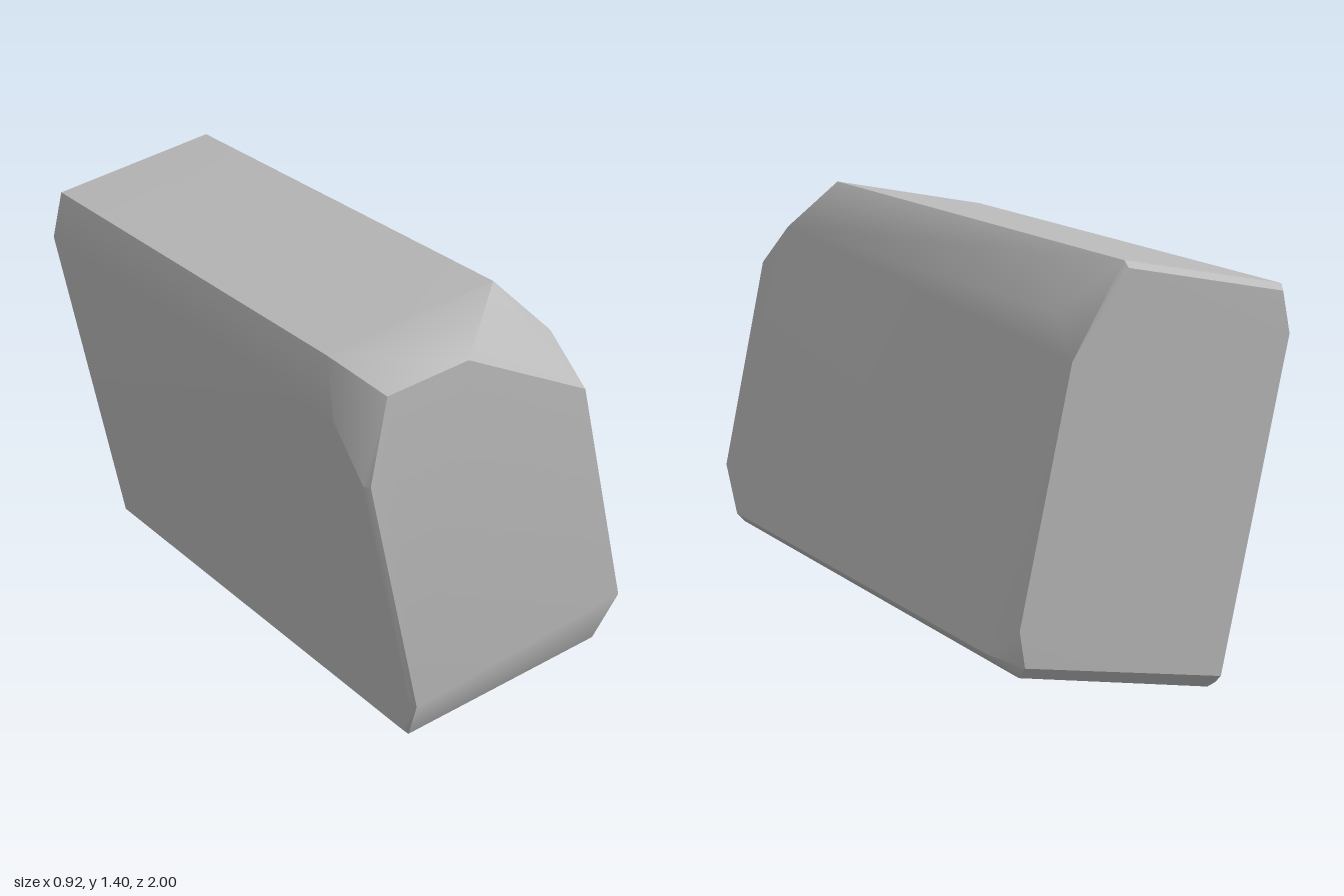
import * as THREE from 'three';
import { ConvexGeometry } from 'three/addons/geometries/ConvexGeometry.js';

// Area-weighted normals, smoothed only where faces meet below the crease angle:
// the large faces stay flat and the bevels blend into them.
function softenBevels(geometry, creaseDegrees) {
  const pos = geometry.attributes.position;
  const limit = Math.cos(THREE.MathUtils.degToRad(creaseDegrees));
  const faces = [];
  const byCorner = new Map();
  const corner = (i) => new THREE.Vector3().fromBufferAttribute(pos, i);
  const key = (v) => v.toArray().map((c) => c.toFixed(4)).join();
  for (let i = 0; i < pos.count; i += 3) {
    const [a, b, c] = [corner(i), corner(i + 1), corner(i + 2)];
    const area = b.clone().sub(a).cross(c.clone().sub(a));
    const face = { area, normal: area.clone().normalize() };
    faces.push(face);
    for (const v of [a, b, c]) {
      const k = key(v);
      if (!byCorner.has(k)) byCorner.set(k, []);
      byCorner.get(k).push(face);
    }
  }
  const normals = [];
  for (let i = 0; i < pos.count; i++) {
    const own = faces[Math.floor(i / 3)];
    const sum = new THREE.Vector3();
    for (const f of byCorner.get(key(corner(i)))) {
      if (f.normal.dot(own.normal) > limit) sum.add(f.area);
    }
    normals.push(...sum.normalize().toArray());
  }
  geometry.setAttribute('normal', new THREE.Float32BufferAttribute(normals, 3));
  return geometry;
}

export function createModel() {
  const stone = new THREE.MeshStandardMaterial({ color: 0xb8b8b8 });
  stone.name = 'stoneGrey';

  // Corners of each main face of the leaning block; the hull fills in the bevels
  const front = [
    [-0.42, 1.0, 0.937], [-0.36, 1.255, 0.922], [-0.1, 1.3, 0.927],
    [0.29, 1.12, 0.95], [0.415, 0.43, 1.0], [-0.29, 0.27, 0.99],
  ];
  const top = [
    [-0.42, 1.305, 0.71], [0.13, 1.4, 0.71], [0.145, 1.29, -0.985], [-0.4, 1.195, -0.985],
  ];
  const bottom = [
    [-0.27, 0.13, 0.92], [0.39, 0.245, 0.92], [0.41, 0.12, -0.87], [-0.245, 0, -0.87],
  ];
  const leftSide = [
    [0.27, 1.25, 0.8], [0.285, 1.14, -0.86], [0.44, 0.285, 0.87], [0.46, 0.175, -0.78],
  ];
  const rightSide = [
    [-0.462, 1.16, 0.81], [-0.434, 1.0, 0.92], [-0.306, 0.28, 0.975],
    [-0.285, 0.145, 0.91], [-0.262, 0.015, -0.885], [-0.44, 1.05, -0.975],
  ];
  const back = [
    [0.14, 1.27, -1.0], [-0.395, 1.175, -1.0], [-0.425, 1.05, -0.995], [-0.25, 0.045, -0.928],
    [0.42, 0.16, -0.918], [0.443, 0.27, -0.926], [0.31, 1.02, -0.98],
  ];

  const points = [front, top, bottom, leftSide, rightSide, back]
    .flat()
    .map((p) => new THREE.Vector3(...p));
  const block = new THREE.Mesh(softenBevels(new ConvexGeometry(points), 38), stone);
  block.name = 'stoneBlock';

  const group = new THREE.Group();
  group.name = 'bevelledStone';
  group.add(block);
  return group;
}
